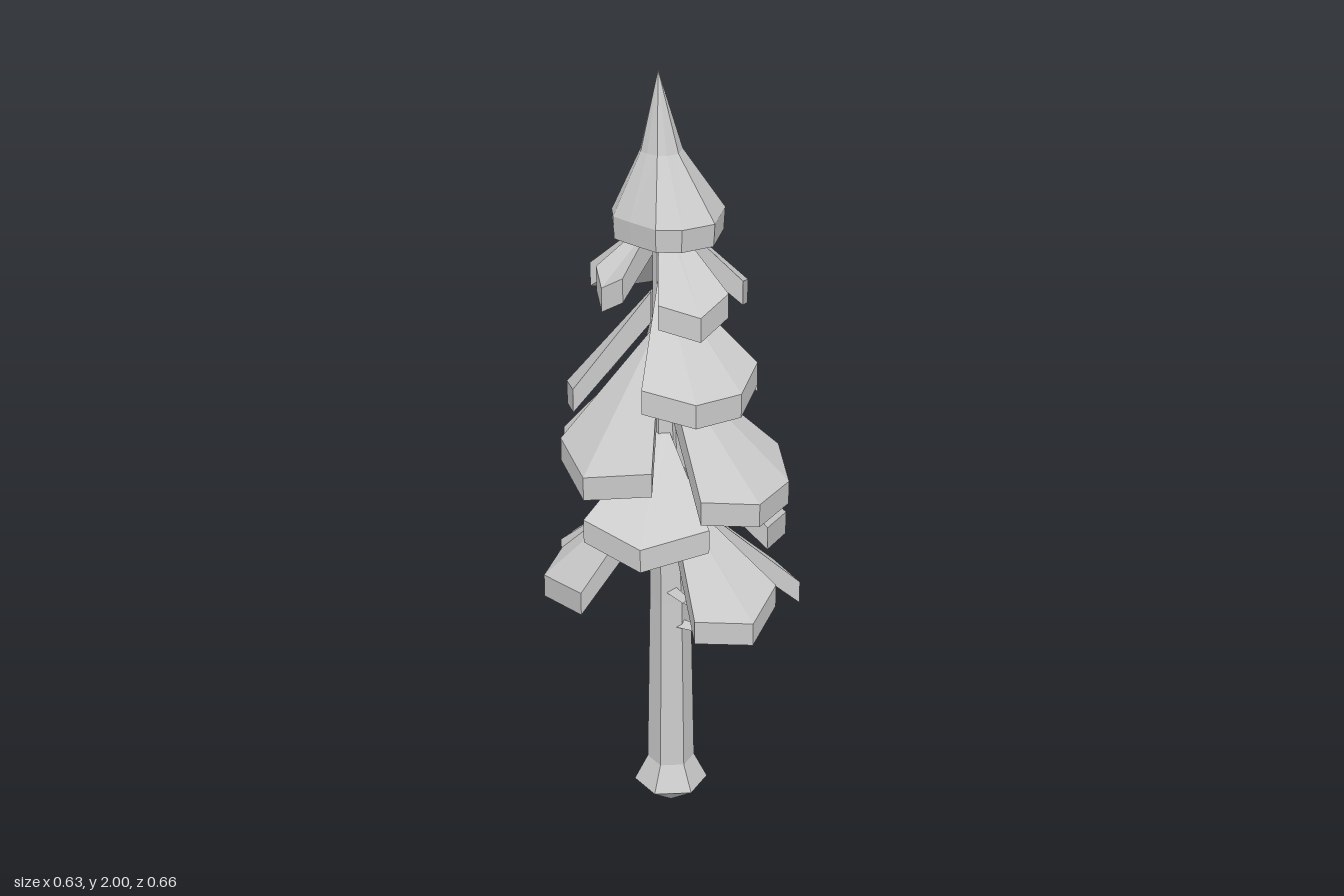
import * as THREE from 'three';

const material = new THREE.MeshStandardMaterial({ color: 0xcccccc, flatShading: true });
const rad = THREE.MathUtils.degToRad;

// The trunk leans slightly forward towards the top
const axisX = -0.005;
const axisZ = (y) => 0.025 + 0.04 * THREE.MathUtils.clamp((y - 0.6) / 1.0, 0, 1);

// Joins radial cross-sections [[radius, y], ...] placed at given angles (+x towards +z)
function sweepSections(angles, sections, leanY, closed) {
  const pos = [];
  const point = (i, k) => {
    const a = rad(angles[i]);
    const [r, y] = sections[i][k];
    return [axisX + r * Math.cos(a), y, axisZ(leanY) + r * Math.sin(a)];
  };
  const quad = (a, b, c, d) => pos.push(...a, ...b, ...c, ...a, ...c, ...d);
  const n = angles.length, m = sections[0].length;
  for (let i = 0; i < (closed ? n : n - 1); i++) {
    const j = (i + 1) % n;
    for (let k = 0; k < m; k++) {
      const l = (k + 1) % m;
      quad(point(i, k), point(j, k), point(j, l), point(i, l));
    }
  }
  if (!closed) {
    const e = n - 1;
    quad(point(0, 0), point(0, 1), point(0, 2), point(0, 3));
    quad(point(e, 3), point(e, 2), point(e, 1), point(e, 0));
  }
  const geo = new THREE.BufferGeometry();
  geo.setAttribute('position', new THREE.Float32BufferAttribute(pos, 3));
  geo.computeVertexNormals();
  return geo;
}

// Drooping fan of needles: thick sloping wedge whose rim is lowest in the middle
function fanGeometry([azimuth, half, radius, rimY, topY]) {
  const t = 0.06;
  const steps = half > 40 ? [-1, -0.33, 0.33, 1] : [-1, 0, 1];
  const sections = steps.map((f) => {
    const edge = Math.abs(f) === 1;
    const r = radius * (edge ? 0.93 : 1);
    const y = rimY + (edge ? 0.035 : 0);
    return [[0.025, topY], [r, y + t], [r, y], [0.025, topY - t * 1.3]];
  });
  return sweepSections(steps.map((f) => azimuth + f * half), sections, topY);
}

// [azimuth, half width, radius, rim bottom y, top y], one row per tier
const tiers = [
  [[22, 27, 0.22, 1.4, 1.66], [-57, 32, 0.225, 1.41, 1.66], [-155, 48, 0.19, 1.42, 1.64], [104, 22, 0.165, 1.44, 1.64]],
  [[15, 44, 0.26, 1.2, 1.5], [155, 37, 0.245, 1.14, 1.46], [-95, 46, 0.26, 1.15, 1.47]],
  [[-12, 43, 0.323, 0.93, 1.28], [93, 39, 0.272, 0.99, 1.36], [188, 40, 0.27, 0.99, 1.33]],
  [[60, 34, 0.3, 0.84, 1.1], [-143, 39, 0.3, 0.78, 1.12], [-47, 34, 0.31, 0.79, 1.1]],
  [[5, 30, 0.31, 0.6, 0.93], [133, 38, 0.315, 0.64, 0.96], [-81, 34, 0.372, 0.55, 0.92], [-168, 36, 0.31, 0.65, 0.95]],
];

export function createModel() {
  const group = new THREE.Group();
  const add = (name, geo) => {
    const mesh = new THREE.Mesh(geo, material);
    mesh.name = name;
    group.add(mesh);
  };

  // Six-sided trunk with a flared, pointed foot
  const profile = [[0, 0], [0.097, 0.07], [0.062, 0.14], [0.053, 0.62], [0.035, 1.1], [0.012, 1.75]];
  let trunk = new THREE.LatheGeometry(profile.map((p) => new THREE.Vector2(...p)), 6, rad(15));
  const p = trunk.attributes.position;
  for (let i = 0; i < p.count; i++) {
    p.setXYZ(i, p.getX(i) + axisX, p.getY(i), p.getZ(i) + axisZ(p.getY(i)));
  }
  trunk = trunk.toNonIndexed();
  trunk.computeVertexNormals();
  add('trunk', trunk);

  // Needle fans in tiers
  tiers.forEach((fans, t) => {
    fans.forEach((fan, i) => add(`branchTier${t + 1}Fan${i + 1}`, fanGeometry(fan)));
  });

  // Uneven closed cap: [angle, rim radius]
  const rim = [
    [-136, 0.11], [-105, 0.135], [-76, 0.158], [-55, 0.164], [-3, 0.168], [29, 0.163],
    [51, 0.15], [86, 0.11], [118, 0.115], [151, 0.115], [197, 0.1],
  ];
  const capSections = rim.map(([, r]) => [
    [0, 2], [0.3 * r + 0.01, 1.81], [r, 1.66], [r * 0.98, 1.605], [0.02, 1.72],
  ]);
  add('crownTip', sweepSections(rim.map(([a]) => a), capSections, 2, true));

  // Short bare twigs: [x, y, z, azimuth, length]
  [[0.03, 0.55, 0.035, 0, 0.14], [0.02, 0.65, 0.05, 25, 0.1], [0.01, 0.74, 0, -70, 0.11]]
    .forEach(([x, y, z, a, len], i) => {
      const geo = new THREE.CylinderGeometry(0.012, 0.016, len, 3);
      geo.translate(0, len / 2, 0).rotateZ(-rad(82)).rotateY(-rad(a)).translate(x, y, z);
      add(`twig${i + 1}`, geo);
    });

  return group;
}
